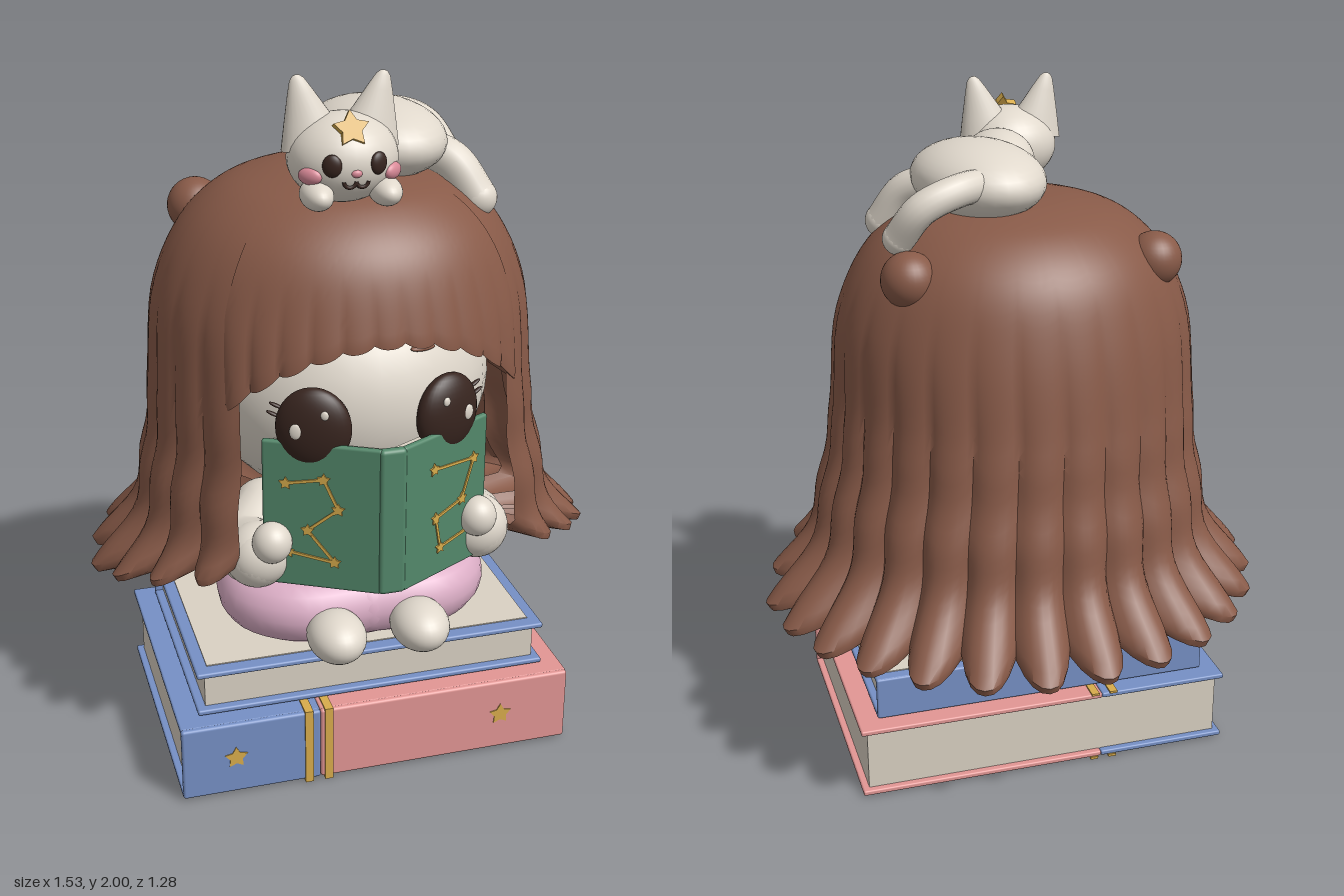
import * as THREE from 'three';
import { toCreasedNormals } from 'three/addons/utils/BufferGeometryUtils.js';
import { ParametricGeometry } from 'three/addons/geometries/ParametricGeometry.js';
import { RoundedBoxGeometry } from 'three/addons/geometries/RoundedBoxGeometry.js';

const mat = (name, color, side = THREE.FrontSide) => {
  const m = new THREE.MeshStandardMaterial({ color, side });
  m.name = name;
  return m;
};
const V = (x, y, z) => new THREE.Vector3(x, y, z);

export function createModel() {
  const model = new THREE.Group();
  const M = {
    cream: mat('cream', 0xe0d8cc), paper: mat('paper', 0xdad1c3),
    hair: mat('brownHair', 0x885a48, THREE.DoubleSide), pink: mat('pinkTrousers', 0xdcaec6),
    green: mat('greenCover', 0x53876a), gold: mat('gold', 0xd8ac4c), blue: mat('blueCover', 0x7690c5),
    coral: mat('coralCover', 0xe29694), dark: mat('darkBrown', 0x38251f), blush: mat('blush', 0xd98a98),
  };

  // helpers
  const add = (name, geo, m, pos = V(0, 0, 0), parent = model) => {
    const mesh = new THREE.Mesh(geo, m);
    mesh.name = name;
    mesh.position.copy(pos);
    parent.add(mesh);
    return mesh;
  };
  const blob = (name, m, pos, rx, ry, rz, parent) => {
    const mesh = add(name, new THREE.SphereGeometry(1, 32, 20), m, pos, parent);
    mesh.scale.set(rx, ry, rz);
    return mesh;
  };
  const slab = (name, m, x0, x1, y0, y1, z0, z1, r = 0) => add(name,
    r ? new RoundedBoxGeometry(x1 - x0, y1 - y0, z1 - z0, 3, r) : new THREE.BoxGeometry(x1 - x0, y1 - y0, z1 - z0),
    m, V((x0 + x1) / 2, (y0 + y1) / 2, (z0 + z1) / 2));
  const limb = (name, m, pts, r, parent) => {
    add(name, new THREE.TubeGeometry(new THREE.CatmullRomCurve3(pts), 24, r, 16), m, undefined, parent);
    for (const p of [pts[0], pts[pts.length - 1]]) blob(name + 'End', m, p, r, r, r, parent);
  };
  const star = (r, depth) => {
    const s = new THREE.Shape();
    for (let i = 0; i < 10; i++) {
      const a = Math.PI / 2 + i * Math.PI / 5, k = i % 2 ? r * 0.55 : r;
      s[i ? 'lineTo' : 'moveTo'](k * Math.cos(a), k * Math.sin(a));
    }
    return new THREE.ExtrudeGeometry(s, { depth, bevelEnabled: false });
  };

  // lower book: two-tone cover with its spine at the front
  slab('lowerPages', M.paper, -0.58, 0.53, 0.02, 0.22, -0.24, 0.545);
  for (const [name, m, x0, x1] of [['blueCover', M.blue, -0.6, -0.2], ['coralCover', M.coral, -0.2, 0.55]]) {
    slab(name + 'Bottom', m, x0, x1, 0.006, 0.022, -0.26, 0.55, 0.005);
    slab(name + 'Top', m, x0, x1, 0.215, 0.231, -0.26, 0.55, 0.005);
    slab(name + 'Spine', m, x0, x1, 0.007, 0.23, 0.54, 0.562, 0.008);
  }
  for (const x of [-0.235, -0.177]) {
    slab('bandFront', M.gold, x - 0.012, x + 0.012, 0, 0.236, 0.56, 0.567);
    slab('bandTop', M.gold, x - 0.012, x + 0.012, 0.229, 0.236, -0.264, 0.567);
    slab('bandBottom', M.gold, x - 0.012, x + 0.012, 0, 0.008, -0.264, 0.567);
  }
  for (const x of [-0.447, 0.343]) add('spineStar', star(0.034, 0.006), M.gold, V(x, 0.122, 0.559));

  // upper book, spine at the back
  slab('upperPages', M.paper, -0.515, 0.467, 0.245, 0.36, -0.2, 0.48);
  slab('upperCoverBottom', M.blue, -0.54, 0.49, 0.236, 0.252, -0.21, 0.505, 0.006);
  slab('upperCoverTop', M.blue, -0.54, 0.49, 0.354, 0.37, -0.21, 0.505, 0.006);
  slab('upperSpine', M.blue, -0.54, 0.49, 0.237, 0.369, -0.212, -0.196, 0.006);
  slab('coverPanel', M.paper, -0.505, 0.455, 0.368, 0.373, -0.175, 0.465);

  // body, legs and feet
  blob('body', M.cream, V(-0.02, 0.64, 0.2), 0.29, 0.22, 0.25);
  blob('seat', M.pink, V(-0.025, 0.48, 0.18), 0.3, 0.1, 0.29);
  for (const s of [-1, 1]) {
    const x = (d) => -0.025 + s * d;
    limb('trouserLeg', M.pink, [V(x(0.14), 0.475, 0), V(x(0.27), 0.475, 0.13), V(x(0.295), 0.475, 0.3),
      V(x(0.2), 0.475, 0.395), V(x(0), 0.475, 0.4)], 0.097);
    blob('foot', M.cream, V(x(0.122), 0.452, 0.535), 0.083, 0.07, 0.105);
    limb('arm', M.cream, [V(x(0.25), 0.71, 0.22), V(x(0.33), 0.67, 0.34), V(x(0.32), 0.685, 0.43)], 0.093);
    blob('hand', M.cream, V(x(0.295), 0.755, 0.505), 0.055, 0.058, 0.055);
    blob('palm', M.cream, V(x(0.315), 0.69, 0.46), 0.085, 0.08, 0.065);
  }

  // head and face
  const head = V(-0.02, 1.1, 0.13), hr = V(0.42, 0.37, 0.42);
  blob('head', M.cream, head, hr.x, hr.y, hr.z);
  const onHead = (x, y, out = 0) => {
    const dx = (x - head.x) / hr.x, dy = (y - head.y) / hr.y;
    return V(x, y, head.z + hr.z * Math.sqrt(Math.max(0, 1 - dx * dx - dy * dy)) + out);
  };
  for (const s of [-1, 1]) {
    const ex = -0.018 + s * 0.187, eye = new THREE.Group();
    eye.name = 'eye';
    eye.position.copy(onHead(ex, 1.085, 0.008));
    eye.rotation.y = s * 0.4;
    model.add(eye);
    blob('eyeball', M.dark, V(0, 0, 0), 0.103, 0.115, 0.045, eye);
    blob('largeGlint', M.cream, V(s * 0.042, 0.004, 0.04), 0.017, 0.022, 0.006, eye);
    blob('smallGlint', M.cream, V(-s * 0.035, 0.052, 0.037), 0.011, 0.013, 0.006, eye);
    for (const k of [0, 1]) {
      const lash = blob('eyelash', M.dark, V(s * (0.1 + k * 0.008), 0.06 - k * 0.025, 0), 0.02, 0.005, 0.007, eye);
      lash.rotation.z = s * 0.4;
    }
    const brow = blob('eyebrow', M.hair, onHead(-0.04 + s * 0.147, 1.268), 0.042, 0.009, 0.014);
    brow.rotation.set(0, s * 0.4, -s * 0.08);
  }

  // hair: width, height and depth profile from crown to hem
  const profile = new THREE.CatmullRomCurve3([V(0.001, 1.715, 0.001), V(0.2, 1.695, 0.19), V(0.34, 1.645, 0.32),
    V(0.445, 1.545, 0.42), V(0.525, 1.37, 0.482), V(0.552, 1.1, 0.528), V(0.585, 0.86, 0.55), V(0.64, 0.68, 0.6),
    V(0.79, 0.495, 0.76)]);
  const tAt = (y) => {
    let lo = 0, hi = 1;
    for (let i = 0; i < 18; i++) {
      const mid = (lo + hi) / 2;
      if (profile.getPoint(mid).y > y) lo = mid; else hi = mid;
    }
    return lo;
  };
  const clamp = THREE.MathUtils.clamp;
  const hairSheet = (name, from, to, locks, hem, notch, tuck, size) => {
    const p = V(0, 0, 0);
    const f = (u, v, out) => {
      const a = from + (to - from) * u;
      const valley = Math.pow(Math.abs(2 * ((u * locks) % 1) - 1), 2.2);
      const outer = Math.min(v / 0.86, 1), under = Math.max(0, (v - 0.86) / 0.14);
      profile.getPoint(outer * tAt(hem(a) + notch * valley), p);
      const amp = 0.04 * clamp((1.5 - p.y) / 0.5, 0, 1) + 0.09 * Math.pow(clamp((0.95 - p.y) / 0.43, 0, 1), 2);
      const wave = 0.012 * Math.sin(p.y * 24) * clamp((1.1 - p.y) / 0.2, 0, 1);
      const r = size * (1 - amp * valley + wave) * (1 - tuck * under);
      const drop = clamp((p.y - 0.53) / 0.6, 0, 1);
      out.set(-0.03 * drop + p.x * r * Math.sin(a), p.y + 0.04 * under, 0.09 + 0.05 * drop + p.z * r * Math.cos(a));
    };
    add(name, toCreasedNormals(new ParametricGeometry(f, locks * 8, 52), 0.9), M.hair);
  };
  const edge = 0.77;
  hairSheet('longHair', edge, 2 * Math.PI - edge, 20, (a) => 0.502 + 0.21 * Math.max(0, Math.cos(a)), 0.045, 0.9, 1);
  hairSheet('fringe', -0.86, 0.86, 11, (a) => 1.33 - 0.27 * a * a, 0.012, 0.15, 1.008);
  for (const s of [-1, 1]) blob('hairBun', M.hair, V(-0.03 + s * 0.36, 1.545, -0.08), 0.08, 0.08, 0.08);

  // open book with star maps on its covers
  const book = new THREE.Group();
  book.name = 'openBook';
  book.position.set(-0.018, 0.835, 0.622);
  model.add(book);
  add('openBookSpine', new RoundedBoxGeometry(0.075, 0.43, 0.03, 3, 0.012), M.green, undefined, book);
  const maps = {
    '-1': [[-0.26, 0.095], [-0.155, 0.115], [-0.115, 0.03], [-0.2, -0.04], [-0.125, -0.13], [-0.255, -0.11]],
    '1': [[0.11, 0.115], [0.27, 0.1], [0.225, -0.01], [0.12, -0.035], [0.14, -0.13], [0.27, -0.11]],
  };
  for (const s of [-1, 1]) {
    const half = new THREE.Group();
    half.name = 'bookHalf';
    half.position.x = s * 0.03;
    half.rotation.y = s * 0.5;
    book.add(half);
    add('greenBoard', new RoundedBoxGeometry(0.33, 0.43, 0.02, 2, 0.008), M.green, V(s * 0.162, 0, 0), half);
    add('openPages', new THREE.BoxGeometry(0.3, 0.4, 0.03), M.paper, V(s * 0.155, 0, -0.024), half);
    const pts = maps[s].map(([x, y]) => V(x, y, 0.011));
    pts.forEach((p, i) => {
      add('mapStar', star(0.019, 0.006), M.gold, V(p.x, p.y, 0.009), half);
      if (!i) return;
      const d = p.clone().sub(pts[i - 1]);
      const line = add('mapLine', new THREE.BoxGeometry(d.length(), 0.008, 0.006), M.gold,
        p.clone().add(pts[i - 1]).multiplyScalar(0.5), half);
      line.rotation.z = Math.atan2(d.y, d.x);
    });
  }

  // cat lying on the head
  const cat = new THREE.Group();
  cat.name = 'cat';
  model.add(cat);
  blob('catBody', M.cream, V(0.075, 1.765, 0.13), 0.18, 0.108, 0.24, cat).rotation.y = 0.25;
  blob('catNeck', M.cream, V(-0.03, 1.775, 0.28), 0.105, 0.09, 0.13, cat);
  blob('catHead', M.cream, V(-0.1, 1.79, 0.42), 0.145, 0.115, 0.135, cat);
  limb('catHindLeg', M.cream, [V(0.17, 1.75, 0.18), V(0.26, 1.71, 0.25), V(0.32, 1.615, 0.295)], 0.053, cat);
  limb('catTail', M.cream, [V(0.07, 1.78, 0), V(0.19, 1.78, -0.07), V(0.29, 1.74, -0.08), V(0.345, 1.65, -0.03)], 0.046, cat);
  const earProfile = [[0.085, 0], [0.062, 0.06], [0.034, 0.13], [0.019, 0.165], [0.009, 0.175], [0.0001, 0.177]];
  for (const s of [-1, 1]) {
    const x = (d) => -0.1 + s * d;
    const ear = add('catEar', new THREE.LatheGeometry(earProfile.map(([r, y]) => new THREE.Vector2(r, y)), 24),
      M.cream, V(x(0.073), 1.828, 0.4), cat);
    ear.rotation.z = -s * 0.25;
    ear.scale.z = 0.65;
    blob('catFrontPaw', M.cream, V(x(0.09), 1.715, 0.5), 0.042, 0.038, 0.07, cat);
    blob('catEye', M.dark, V(x(0.06), 1.797, 0.539), 0.025, 0.029, 0.013, cat).rotation.y = s * 0.4;
    blob('catCheek', M.blush, V(x(0.108), 1.766, 0.505), 0.033, 0.022, 0.016, cat).rotation.y = s * 0.75;
    const mouth = add('catMouth', new THREE.TorusGeometry(0.016, 0.005, 8, 14, Math.PI), M.dark, V(x(0.016), 1.757, 0.548), cat);
    mouth.rotation.z = Math.PI;
  }
  blob('catNose', M.blush, V(-0.1, 1.777, 0.553), 0.014, 0.01, 0.008, cat);
  const badge = add('foreheadStar', star(0.048, 0.02), M.gold, V(-0.105, 1.876, 0.508), cat);
  badge.rotation.x = -0.5;

  return model;
}
